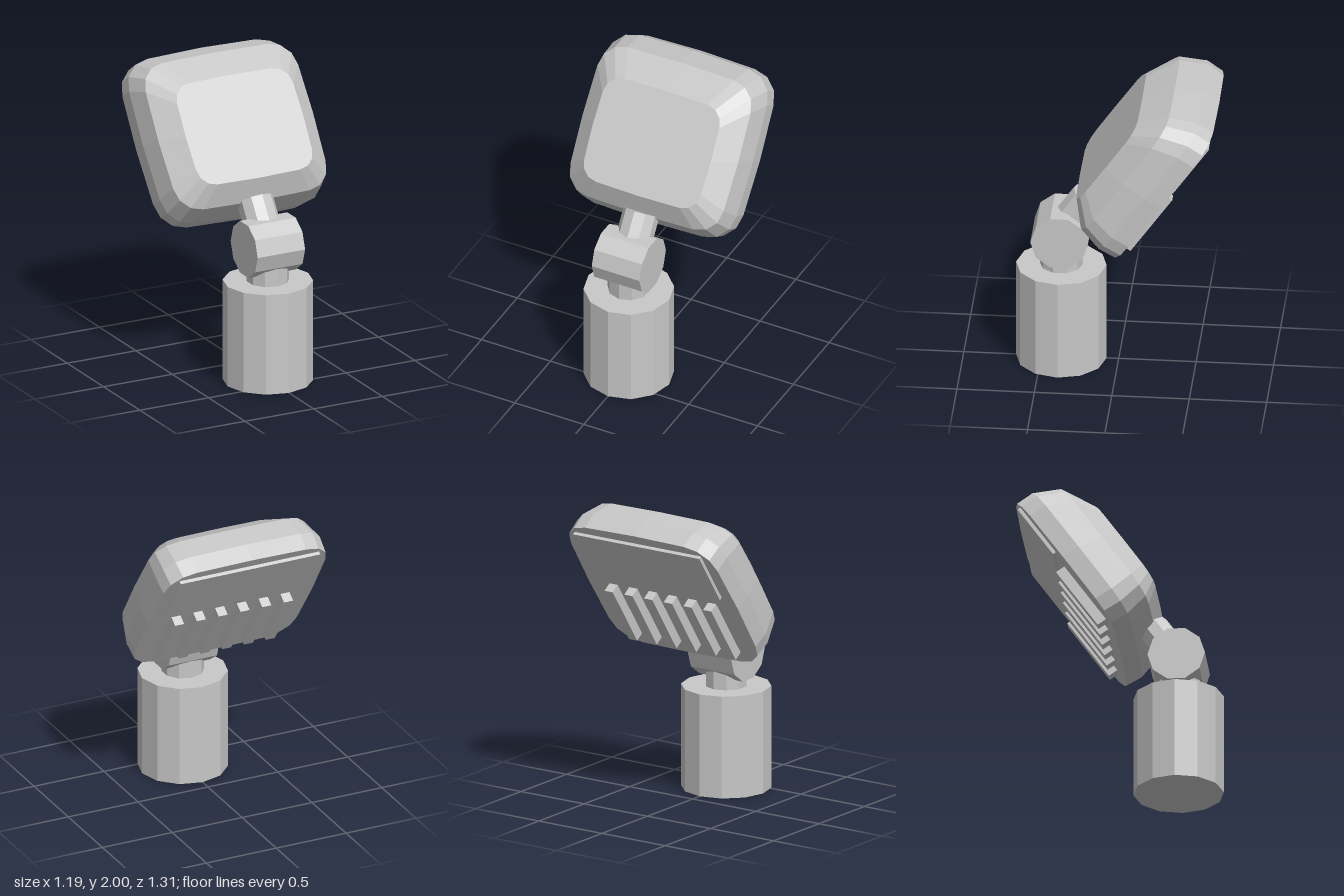
import * as THREE from 'three';

const TILT = -0.611; // lean of the lamp head and neck
const PIVOT_Z = 0.37; // post and hinge axis

// Rounded rectangle with slightly bowed sides, counter-clockwise seen from +z
function ring({ hx, hy, r, cy, z, bow }) {
  const pts = [];
  const corners = [[1, 1], [-1, 1], [-1, -1], [1, -1]];
  corners.forEach(([sx, sy], q) => {
    for (let k = 0; k <= 3; k++) {
      const a = (q + k / 3) * Math.PI / 2;
      pts.push([
        sx * (hx - bow - r) + r * Math.cos(a),
        cy + sy * (hy - bow - r) + r * Math.sin(a), z]);
    }
    // bowed midpoint of the following side
    const m = (q + 1) * Math.PI / 2;
    pts.push([Math.cos(m) * hx, cy + Math.sin(m) * hy, z]);
  });
  return pts;
}

// Skin a list of rings running from front to back, capped at both ends
function loft(rings) {
  const n = rings[0].length;
  const pos = rings.flat(2);
  const idx = [];
  for (let j = 0; j < rings.length - 1; j++) {
    for (let i = 0; i < n; i++) {
      const a = j * n + i, b = j * n + (i + 1) % n;
      idx.push(a, a + n, b, b, a + n, b + n);
    }
  }
  const last = (rings.length - 1) * n;
  for (let i = 1; i < n - 1; i++) {
    idx.push(0, i, i + 1);
    idx.push(last, last + i + 1, last + i);
  }
  const g = new THREE.BufferGeometry();
  g.setAttribute('position', new THREE.Float32BufferAttribute(pos, 3));
  g.setIndex(idx);
  g.computeVertexNormals();
  return g;
}

export function createModel() {
  const model = new THREE.Group();
  model.name = 'floodlight';
  const grey = new THREE.MeshStandardMaterial({ color: 0xc8c8c8 });
  grey.name = 'light grey';
  grey.flatShading = true;

  const add = (parent, name, geometry, x, y, z) => {
    const mesh = new THREE.Mesh(geometry, grey);
    mesh.name = name;
    mesh.position.set(x, y, z);
    parent.add(mesh);
    return mesh;
  };

  // Base, stem and hinge
  add(model, 'base', new THREE.CylinderGeometry(0.292, 0.292, 0.68, 12), 0, 0.34, PIVOT_Z);
  add(model, 'stem', new THREE.CylinderGeometry(0.138, 0.138, 0.24, 10), 0, 0.78, PIVOT_Z);
  const hinge = add(model, 'hinge', new THREE.CylinderGeometry(0.186, 0.186, 0.345, 10), 0, 0.918, PIVOT_Z);
  hinge.rotation.z = Math.PI / 2;

  // Tilted frame: local y runs up the head, local z out of its face
  const head = new THREE.Group();
  head.name = 'head';
  head.rotation.x = TILT;
  model.add(head);

  add(head, 'neck', new THREE.CylinderGeometry(0.12, 0.12, 0.31, 10), 0, 0.695, 0.83);

  // Housing
  add(head, 'housing', loft([
    { hx: 0.428, hy: 0.351, r: 0.12, cy: 1.305, z: 0.974, bow: 0.006 },
    { hx: 0.563, hy: 0.507, r: 0.17, cy: 1.341, z: 0.850, bow: 0.008 },
    { hx: 0.595, hy: 0.571, r: 0.19, cy: 1.361, z: 0.682, bow: 0.010 },
    { hx: 0.590, hy: 0.567, r: 0.19, cy: 1.366, z: 0.561, bow: 0.010 },
  ].map(ring)), 0, 0, 0);

  // Rear cover plate
  add(head, 'rearPlate', new THREE.BoxGeometry(1.0, 0.4, 0.05), 0, 1.657, 0.563);

  // Cooling fins
  for (let i = 0; i < 6; i++) {
    add(head, 'coolingFin', new THREE.BoxGeometry(0.065, 0.47, 0.1), (i - 2.5) * 0.156, 1.14, 0.545);
  }

  return model;
}
